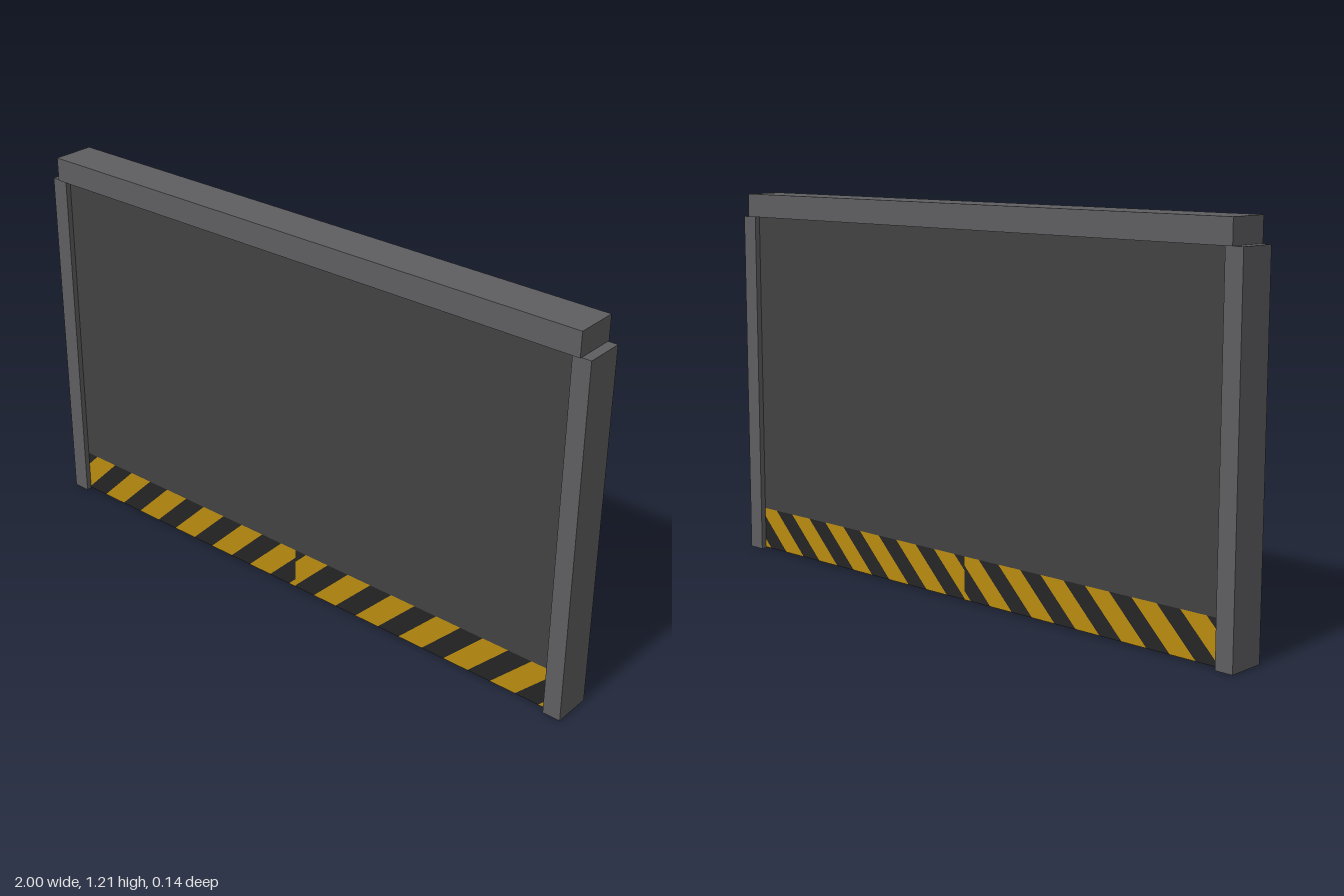
import * as THREE from 'three';

const material = (name, color) => {
  const m = new THREE.MeshStandardMaterial({ color });
  m.name = name;
  return m;
};

// Cuts a polygon at a vertical line, keeping the side where sign * (x - limit) >= 0
function clipX(points, limit, sign) {
  const out = [];
  points.forEach((p, i) => {
    const q = points[(i + 1) % points.length];
    const dp = sign * (p.x - limit), dq = sign * (q.x - limit);
    if (dp >= 0) out.push(p);
    if (dp * dq < 0) out.push(p.clone().lerp(q, dp / (dp - dq)));
  });
  return out;
}

export function createModel() {
  const group = new THREE.Group();
  const frame = material('frame grey', 0x5e5e60);
  const sheet = material('panel dark grey', 0x424242);
  const yellow = material('hazard yellow', 0xb98b10);
  const black = material('hazard black', 0x252525);

  const add = (name, geometry, mat) => {
    const mesh = new THREE.Mesh(geometry, mat);
    mesh.name = name;
    group.add(mesh);
    return mesh;
  };
  const box = (name, mat, w, h, d, x, y) =>
    add(name, new THREE.BoxGeometry(w, h, d), mat).position.set(x, y + h / 2, 0);

  // Frame: two posts and the housing across the top
  const inner = 0.943, postHeight = 1.13;
  for (const [name, s] of [['leftPost', 1], ['rightPost', -1]]) {
    box(name, frame, 1 - inner, postHeight, 0.125, s * (1 + inner) / 2, 0);
  }
  box('topBeam', frame, 1.94, 0.075, 0.136, 0, postHeight);

  // Door panel, set back from the posts
  const depth = 0.09, y0 = 0.004, y1 = 0.14;
  box('doorPanel', sheet, 2 * inner, postHeight - y1, depth, 0, y1);

  // Hazard strip: the slanted pattern restarts at the middle
  const period = 0.168, yellowWidth = 0.088, start = 0.043;
  const bands = { yellow: [], black: [] };
  const addBand = (list, a, b, left, right) => {
    const slant = y1 - y0;
    let pts = [[a - slant, y0], [b - slant, y0], [b, y1], [a, y1]]
      .map(([x, y]) => new THREE.Vector2(x, y));
    pts = clipX(clipX(pts, left, 1), right, -1);
    if (pts.length > 2) list.push(new THREE.Shape(pts));
  };
  for (const left of [-inner, 0]) {
    for (let k = -1; k < 8; k++) {
      const a = left + start + k * period;
      addBand(bands.yellow, a, a + yellowWidth, left, left + inner);
      addBand(bands.black, a + yellowWidth, a + period, left, left + inner);
    }
  }
  const extrude = (shapes) =>
    new THREE.ExtrudeGeometry(shapes, { depth, bevelEnabled: false }).translate(0, 0, -depth / 2);
  add('yellowStripes', extrude(bands.yellow), yellow);
  add('blackStripes', extrude(bands.black), black);

  return group;
}
